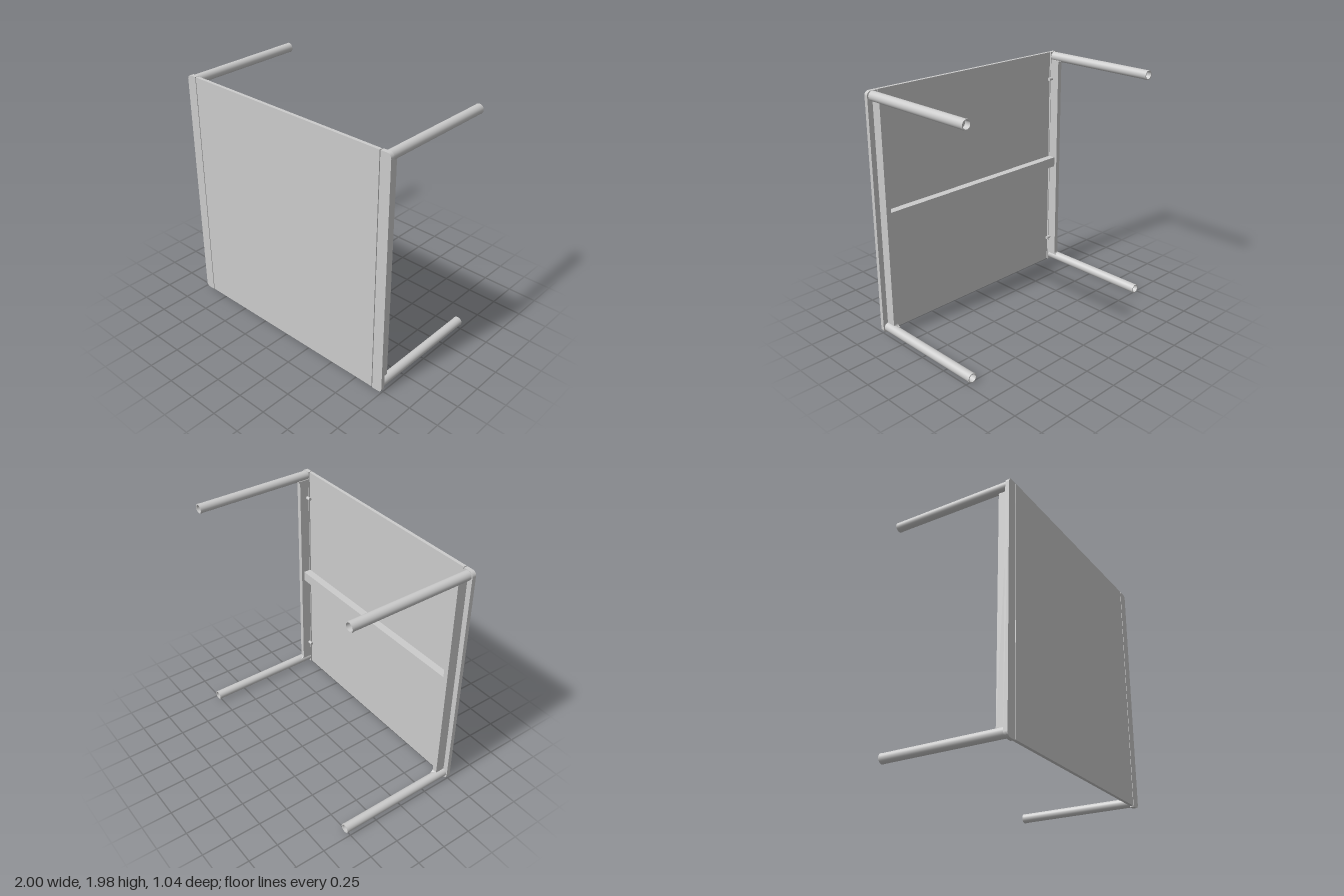
import * as THREE from 'three';

const material = new THREE.MeshStandardMaterial({ color: 0xcccccc });

function add(parent, name, geometry, x = 0, y = 0, z = 0) {
  const mesh = new THREE.Mesh(geometry, material);
  mesh.name = name;
  mesh.position.set(x, y, z);
  parent.add(mesh);
  return mesh;
}

// Strip with only its outer (+x) corners rounded
function capGeometry(x0, x1, y0, y1, r, depth) {
  const s = new THREE.Shape();
  s.moveTo(x0, y0);
  s.lineTo(x1 - r, y0);
  s.absarc(x1 - r, y0 + r, r, -Math.PI / 2, 0);
  s.lineTo(x1, y1 - r);
  s.absarc(x1 - r, y1 - r, r, 0, Math.PI / 2);
  s.lineTo(x0, y1);
  s.closePath();
  return new THREE.ExtrudeGeometry(s, { depth, bevelEnabled: false, curveSegments: 8 });
}

// Side rail outline (a = -z, b = y) with small fillets where it meets the legs
function railGeometry(zFront, zBack, y0, y1, r, width) {
  const a = -zFront, b = -zBack;
  const s = new THREE.Shape();
  s.moveTo(a, y0);
  s.lineTo(b + r, y0);
  s.absarc(b + r, y0 + r, r, -Math.PI / 2, -Math.PI, true);
  s.lineTo(b, y1 - r);
  s.absarc(b + r, y1 - r, r, Math.PI, Math.PI / 2, true);
  s.lineTo(a, y1);
  s.closePath();
  const g = new THREE.ExtrudeGeometry(s, { depth: width, bevelEnabled: false, curveSegments: 6 });
  return g.rotateY(Math.PI / 2);
}

// Round tube along -z with a recessed foot end
function legGeometry(radius, length) {
  const wall = 0.007, recess = 0.05;
  const outline = [
    [0, 0], [radius, 0], [radius, 0],
    [radius, length], [radius, length],
    [radius - wall, length], [radius - wall, length],
    [radius - wall, length - recess], [radius - wall, length - recess], [0, length - recess],
  ];
  // Separate lathes per straight segment keep the rims sharp
  const parts = [];
  for (let i = 0; i < outline.length - 1; i++) {
    const [p, q] = [outline[i], outline[i + 1]];
    if (p[0] === q[0] && p[1] === q[1]) continue;
    const pts = [new THREE.Vector2(...p), new THREE.Vector2(...q)];
    parts.push(new THREE.LatheGeometry(pts, 32).rotateX(-Math.PI / 2));
  }
  return parts;
}

export function createModel() {
  const model = new THREE.Group();
  model.name = 'table';

  // Large flat panel and the cross bar behind it
  add(model, 'panel', new THREE.BoxGeometry(1.81, 1.975, 0.027), 0, 0.9925, 0.5065);
  add(model, 'crossBar', new THREE.BoxGeometry(1.84, 0.085, 0.065), 0, 0.9925, 0.4615);

  for (const side of [1, -1]) {
    const frame = new THREE.Group();
    frame.name = side > 0 ? 'leftFrame' : 'rightFrame';
    model.add(frame);

    // Edge strip
    const cap = capGeometry(0.912, 1, 0, 1.98, 0.035, 0.033);
    if (side < 0) cap.rotateY(Math.PI).translate(0, 0, 0.033);
    add(frame, 'edgeStrip', cap, 0, 0, 0.487);

    // Rail between the legs
    add(frame, 'rail', railGeometry(0.488, 0.405, 0.07, 1.915, 0.025, 0.04),
      side > 0 ? 0.917 : -0.957, 0, 0);

    for (const y of [0.045, 1.94]) {
      // Leg
      const leg = new THREE.Group();
      leg.name = 'leg';
      leg.position.set(side * 0.953, y, 0.488);
      frame.add(leg);
      for (const g of legGeometry(0.038, 1.008)) add(leg, 'legTube', g);
      // Thin collar at the foot
      const collar = new THREE.CylinderGeometry(0.0395, 0.0395, 0.014, 32, 1, true);
      add(leg, 'footCollar', collar.rotateX(Math.PI / 2), 0, 0, -1.001);
    }

    // Pins joining rail and panel
    for (const y of [0.235, 1.75]) {
      const pin = new THREE.CylinderGeometry(0.014, 0.014, 0.045, 16).rotateZ(Math.PI / 2);
      add(frame, 'pin', pin, side * 0.9, y, 0.475);
    }
  }
  return model;
}
